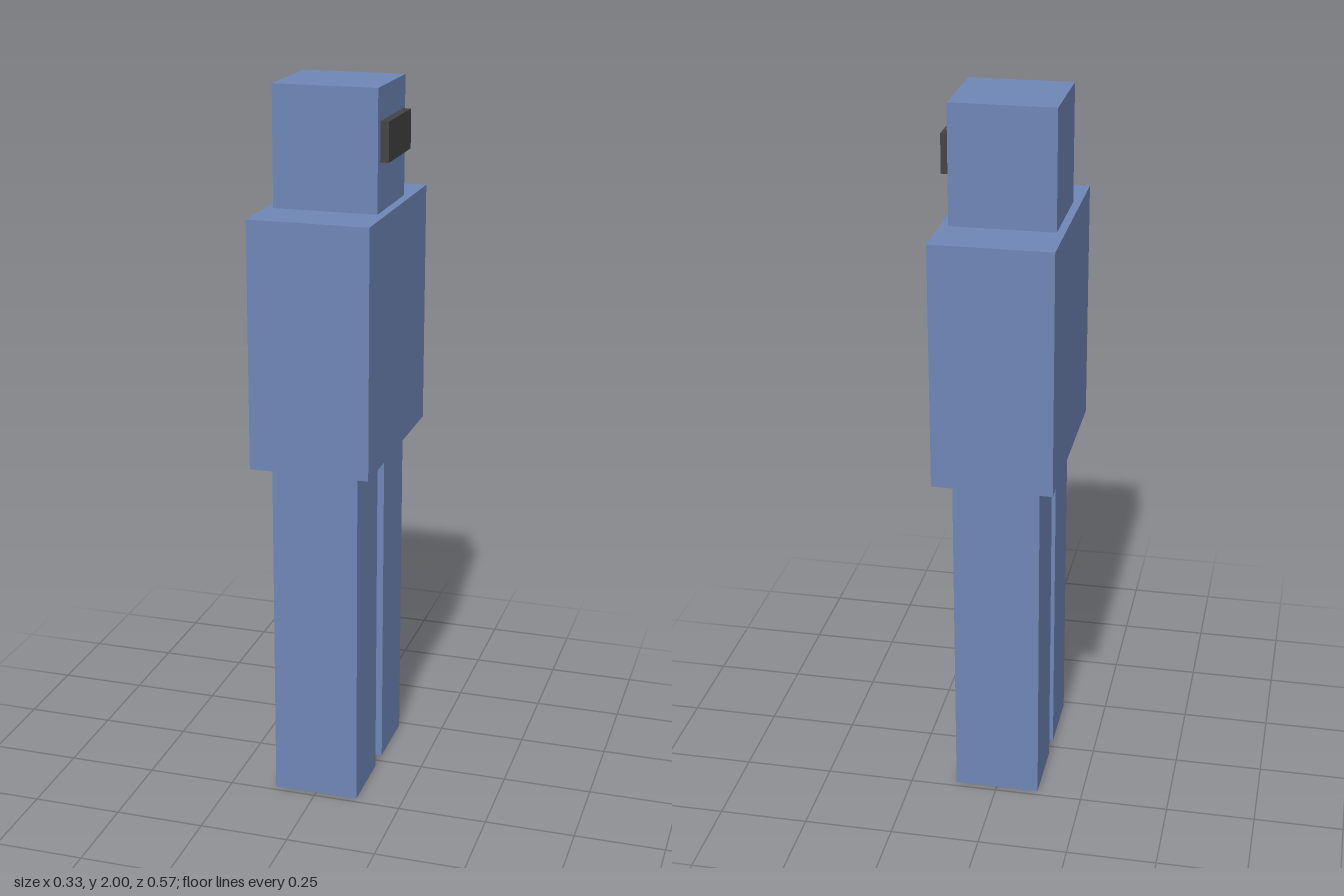
import * as THREE from 'three';

export function createModel() {
  const model = new THREE.Group();
  model.name = 'blockFigure';

  const blue = new THREE.MeshStandardMaterial({ color: 0x6e86b6 });
  blue.name = 'blue';
  const charcoal = new THREE.MeshStandardMaterial({ color: 0x434244 });
  charcoal.name = 'charcoal';

  // Box given by its [min, max] range on each axis
  function addBlock(name, material, [x0, x1], [y0, y1], [z0, z1]) {
    const mesh = new THREE.Mesh(new THREE.BoxGeometry(x1 - x0, y1 - y0, z1 - z0), material);
    mesh.position.set((x0 + x1) / 2, (y0 + y1) / 2, (z0 + z1) / 2);
    mesh.name = name;
    model.add(mesh);
  }

  // Head and torso
  addBlock('head', blue, [-0.144, 0.143], [1.672, 2], [-0.133, 0.133]);
  addBlock('torso', blue, [-0.166, 0.166], [0.988, 1.672], [-0.287, 0.287]);

  // Legs, one on each side of the gap; the figure looks towards +x
  addBlock('leftLeg', blue, [-0.121, 0.12], [0, 0.988], [-0.232, -0.034]);
  addBlock('rightLeg', blue, [-0.121, 0.12], [0, 0.988], [0.034, 0.232]);

  // Visor standing out from the face
  addBlock('visor', charcoal, [0.143, 0.166], [1.805, 1.912], [-0.11, 0.11]);

  return model;
}
